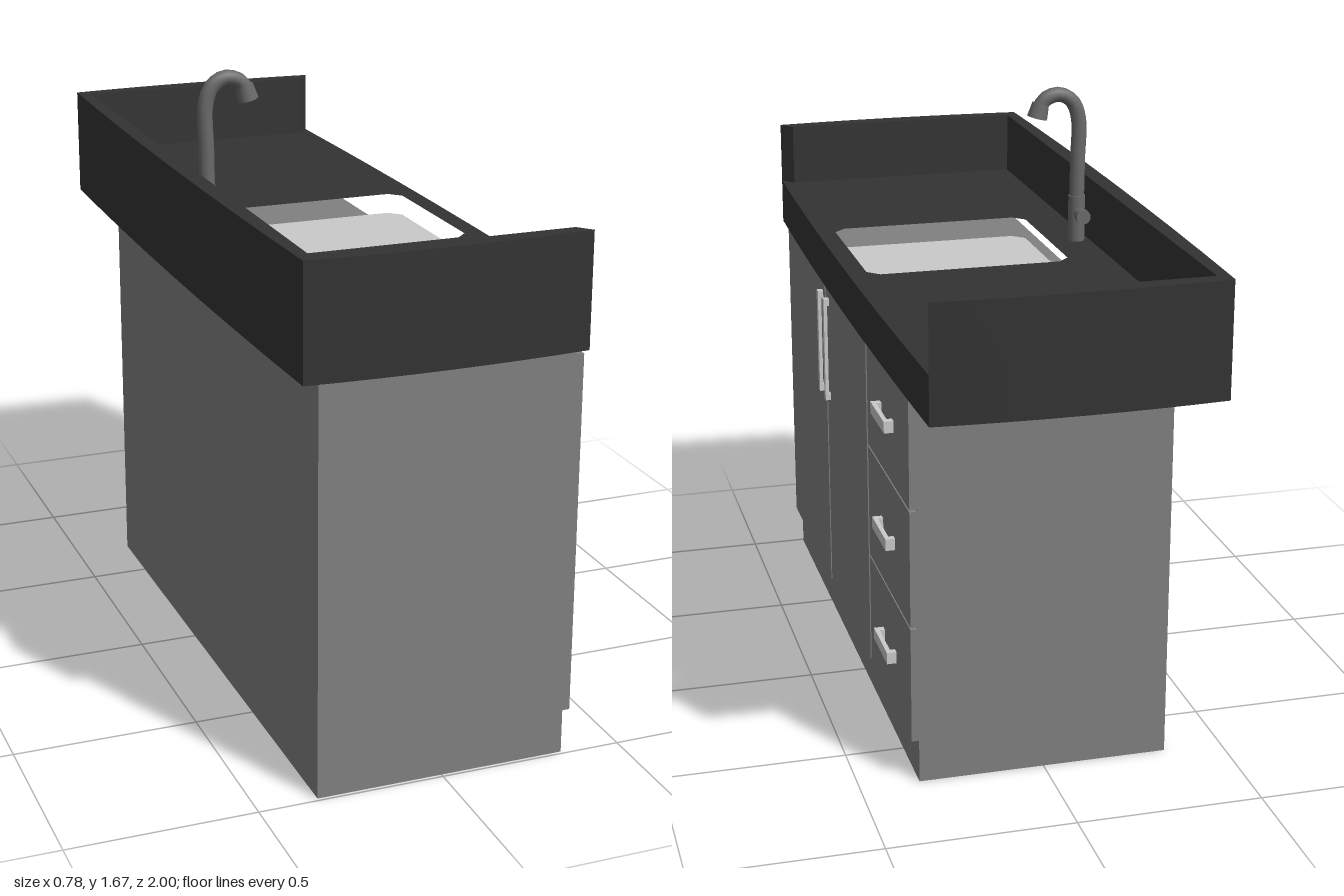
import * as THREE from 'three';

const material = (name, color) => Object.assign(new THREE.MeshStandardMaterial({ color }), { name });

export function createModel() {
  const group = new THREE.Group();
  const cabinetGrey = material('cabinet grey', 0x808080);
  const stone = material('dark stone', 0x333333);
  const lightSteel = material('light steel', 0xcacaca);
  const faucetMetal = material('faucet metal', 0x6a6a6a);

  const add = (name, geometry, mat, x = 0, y = 0, z = 0) => {
    const mesh = new THREE.Mesh(geometry, mat);
    mesh.name = name;
    mesh.position.set(x, y, z);
    group.add(mesh);
    return mesh;
  };
  // Box given by its limits on each axis
  const box = (name, mat, x0, x1, y0, y1, z0, z1) =>
    add(name, new THREE.BoxGeometry(x1 - x0, y1 - y0, z1 - z0), mat, (x0 + x1) / 2, (y0 + y1) / 2, (z0 + z1) / 2);
  // Plan outline of [x, z] points, extruded upward
  const toPoints = (list) => list.map(([x, z]) => new THREE.Vector2(x, -z));
  const slab = (name, mat, outline, y, height, hole) => {
    const shape = new THREE.Shape(toPoints(outline));
    if (hole) shape.holes.push(new THREE.Path(toPoints(hole)));
    const geometry = new THREE.ExtrudeGeometry(shape, { depth: height, bevelEnabled: false });
    geometry.rotateX(-Math.PI / 2);
    return add(name, geometry, mat, 0, y, 0);
  };

  // Cabinet body with recessed kick base
  box('cabinetBody', cabinetGrey, -0.34, 0.34, 0, 1.1, -0.69, 0.99);

  // Two doors and three drawers on the +x side
  const face = (name, y0, y1, z0, z1) => box(name, cabinetGrey, 0.34, 0.36, y0, y1, z0, z1);
  face('doorLeft', 0.12, 1.095, 0.395, 0.99);
  face('doorRight', 0.12, 1.095, -0.178, 0.38);
  for (let i = 0; i < 3; i++) {
    const y = 0.12 + i * 0.326;
    face('drawer', y, y + 0.32, -0.69, -0.192);
  }

  // Upright door handles, each a bar on two posts
  for (const z of [0.43, 0.342]) {
    box('doorHandleBar', lightSteel, 0.366, 0.376, 0.72, 1.03, z - 0.01, z + 0.01);
    for (const y of [0.72, 1.01]) box('doorHandlePost', lightSteel, 0.36, 0.368, y, y + 0.02, z - 0.01, z + 0.01);
  }

  // Drawer handles
  for (const y of [0.282, 0.609, 0.936]) {
    box('drawerHandleBar', lightSteel, 0.374, 0.386, y - 0.016, y + 0.016, -0.52, -0.355);
    for (const z of [-0.52, -0.375]) box('drawerHandlePost', lightSteel, 0.36, 0.376, y - 0.016, y + 0.016, z, z + 0.02);
  }

  // Slightly bowed worktop edges
  const bow = (x0, z0, x1, z1, dx, dz, n = 8) => Array.from({ length: n }, (_, i) => {
    const t = i / n, b = 4 * t * (1 - t);
    return [x0 + (x1 - x0) * t + dx * b, z0 + (z1 - z0) * t + dz * b];
  });
  const cx = 0.377, cz = 0.985;
  const threeSides = [
    ...bow(cx, cz, -cx, cz, 0, 0.015),
    ...bow(-cx, cz, -cx, -cz, -0.015, 0),
    ...bow(-cx, -cz, cx, -cz, 0, -0.015),
    [cx, -cz],
  ];
  const frontEdge = bow(cx, -cz, cx, cz, 0.013, 0).slice(1);

  // Sink opening with cut corners
  const [sx0, sx1, sz0, sz1, c] = [-0.23, 0.337, -0.13, 0.36, 0.032];
  const opening = [
    [sx0 + c, sz0], [sx1 - c, sz0], [sx1, sz0 + c], [sx1, sz1 - c],
    [sx1 - c, sz1], [sx0 + c, sz1], [sx0, sz1 - c], [sx0, sz0 + c],
  ];
  slab('worktop', stone, [...threeSides, ...frontEdge], 1.1, 0.13, opening);
  slab('sinkFloor', lightSteel, opening, 1.165, 0.009);

  // Upstand around the back and both ends, mitred at the front
  slab('upstand', stone, [
    ...threeSides, [0.345, -0.947], [-0.345, -0.947], [-0.345, 0.947], [0.345, 0.947],
  ], 1.23, 0.177);

  // Faucet: base, curved neck, nozzle and side lever
  const fz = 0.077;
  add('faucetBase', new THREE.CylinderGeometry(0.024, 0.024, 0.13, 12), faucetMetal, -0.308, 1.295, fz);
  const neck = new THREE.CatmullRomCurve3([
    [-0.308, 1.34], [-0.309, 1.46], [-0.31, 1.58], [-0.292, 1.628], [-0.255, 1.65], [-0.215, 1.64], [-0.196, 1.615],
  ].map(([x, y]) => new THREE.Vector3(x, y, fz)));
  add('faucetNeck', new THREE.TubeGeometry(neck, 24, 0.021, 10), faucetMetal);
  const nozzle = add('faucetNozzle', new THREE.CylinderGeometry(0.024, 0.029, 0.04, 12), faucetMetal, -0.195, 1.607, fz);
  nozzle.rotation.z = 0.25;
  const lever = add('faucetLever', new THREE.CylinderGeometry(0.014, 0.014, 0.06, 10), faucetMetal, -0.308, 1.312, 0.04);
  lever.rotation.x = Math.PI / 2;
  const knob = add('faucetKnob', new THREE.CylinderGeometry(0.021, 0.021, 0.022, 10), faucetMetal, -0.308, 1.312, 0.018);
  knob.rotation.x = Math.PI / 2;

  return group;
}
